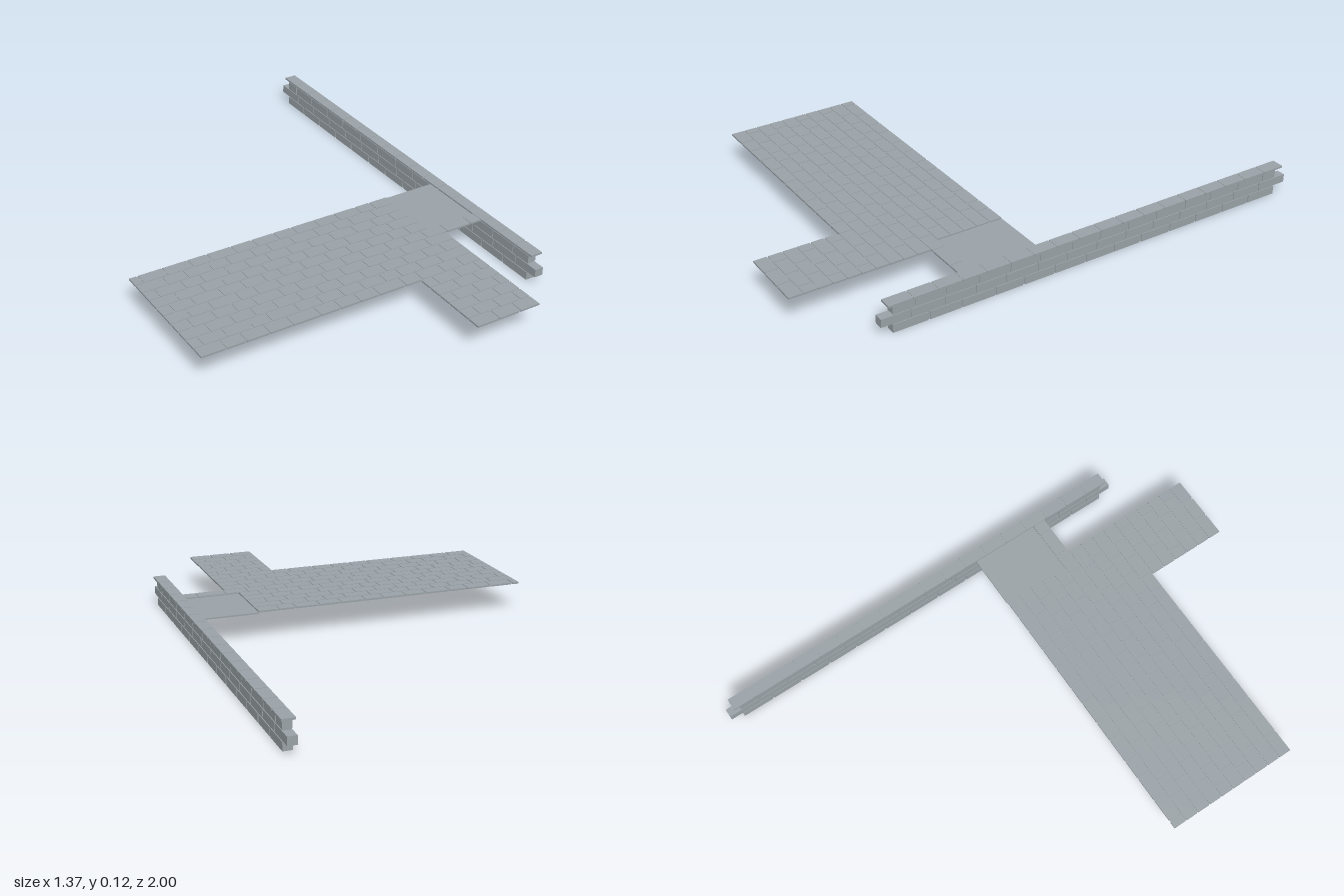
import * as THREE from 'three';

const stone = new THREE.MeshStandardMaterial({ color: 0x9aa2a7 });
stone.name = 'greyStone';

// small seeded generator for uneven stone lengths
let seed = 7;
const rand = () => (seed = (seed * 16807) % 2147483647) / 2147483647;

// box given by its two opposite corners
function block(parent, name, [x0, y0, z0], [x1, y1, z1]) {
  const mesh = new THREE.Mesh(new THREE.BoxGeometry(x1 - x0, y1 - y0, z1 - z0), stone);
  mesh.position.set((x0 + x1) / 2, (y0 + y1) / 2, (z0 + z1) / 2);
  mesh.name = name;
  parent.add(mesh);
}

// [start, end] of each stone in a course, with optional half stone first
function course(from, to, pitch, half, jitter) {
  const spans = [];
  let a = from;
  for (let p = from + (half ? pitch / 2 : pitch); p < to - pitch * 0.3; p += pitch) {
    const cut = p + (rand() - 0.5) * jitter;
    const gap = 0.005 + rand() * 0.004;
    spans.push([a, cut - gap / 2]);
    a = cut + gap / 2;
  }
  spans.push([a, to]);
  return spans;
}

const GAP = 0.005;
const ROW = 0.0543;

// one course of paving stones running along x
function pavingRow(parent, x0, x1, z, depth, half, jitter) {
  for (const [a, b] of course(x0, x1, 0.09, half, jitter)) {
    block(parent, 'pavingStone', [a, 0.1105, z + GAP / 2], [b, 0.1175, z + depth - GAP / 2]);
  }
}

// recessed bed between the stones
function bed(parent, x0, x1, z0, z1) {
  block(parent, 'pavingBed', [x0 + 0.003, 0.1125, z0 + 0.004], [x1 - 0.003, 0.1155, z1 - 0.004]);
}

export function createModel() {
  const model = new THREE.Group();
  model.name = 'stonePathAndWall';

  // main paved area, ten courses with a stepped right edge
  const terrace = new THREE.Group();
  terrace.name = 'terrace';
  const z0 = 0.13;
  for (let r = 0; r < 10; r++) {
    const end = r < 5 ? 0.42 : r === 5 ? 0.635 : 0.465;
    pavingRow(terrace, -0.685, end, z0 + r * ROW, ROW, r % 2 === 0, 0.028);
  }
  bed(terrace, -0.685, 0.423, z0, z0 + 10 * ROW);
  bed(terrace, 0.415, 0.638, z0 + 5 * ROW - 0.004, z0 + 6 * ROW);
  bed(terrace, 0.415, 0.465, z0 + 6 * ROW - 0.008, z0 + 10 * ROW);
  model.add(terrace);

  // short path leading forward
  const path = new THREE.Group();
  path.name = 'frontPath';
  const start = z0 + 10 * ROW;
  const depth = (1 - start + GAP / 2) / 6;
  for (let r = 0; r < 6; r++) pavingRow(path, 0.2, 0.465, start + r * depth, depth, r % 2 === 0, 0.008);
  bed(path, 0.2, 0.465, start - 0.008, 1);
  model.add(path);

  // plain landing slab beside the wall
  block(model, 'landingSlab', [0.42, 0.106, 0.13], [0.66, 0.112, 0.4]);

  // retaining wall in three courses, the middle one longer
  const wall = new THREE.Group();
  wall.name = 'wall';
  const courses = [[-0.95, 0.73, false], [-1, 0.775, false], [-0.95, 0.73, true]];
  courses.forEach(([a, b, half], r) => {
    for (const [za, zb] of course(a, b, 0.128, half, 0.012)) {
      block(wall, 'wallBlock', [0.64, r * 0.0365, za], [0.675, r * 0.0365 + 0.032, zb]);
    }
  });
  block(wall, 'wallCore', [0.643, 0.002, -0.947], [0.672, 0.112, 0.727]);
  model.add(wall);

  // flat capstones along the top of the wall
  const cap = new THREE.Group();
  cap.name = 'wallCap';
  const count = 18;
  const pitch = 1.73 / count;
  for (let i = 0; i < count; i++) {
    const z = -0.977 + i * pitch;
    block(cap, 'capstone', [0.636, 0.1105, z + GAP / 2], [0.685, 0.118, z + pitch - GAP / 2]);
  }
  block(cap, 'capBed', [0.639, 0.112, -0.973], [0.682, 0.1165, 0.749]);
  model.add(cap);

  return model;
}
